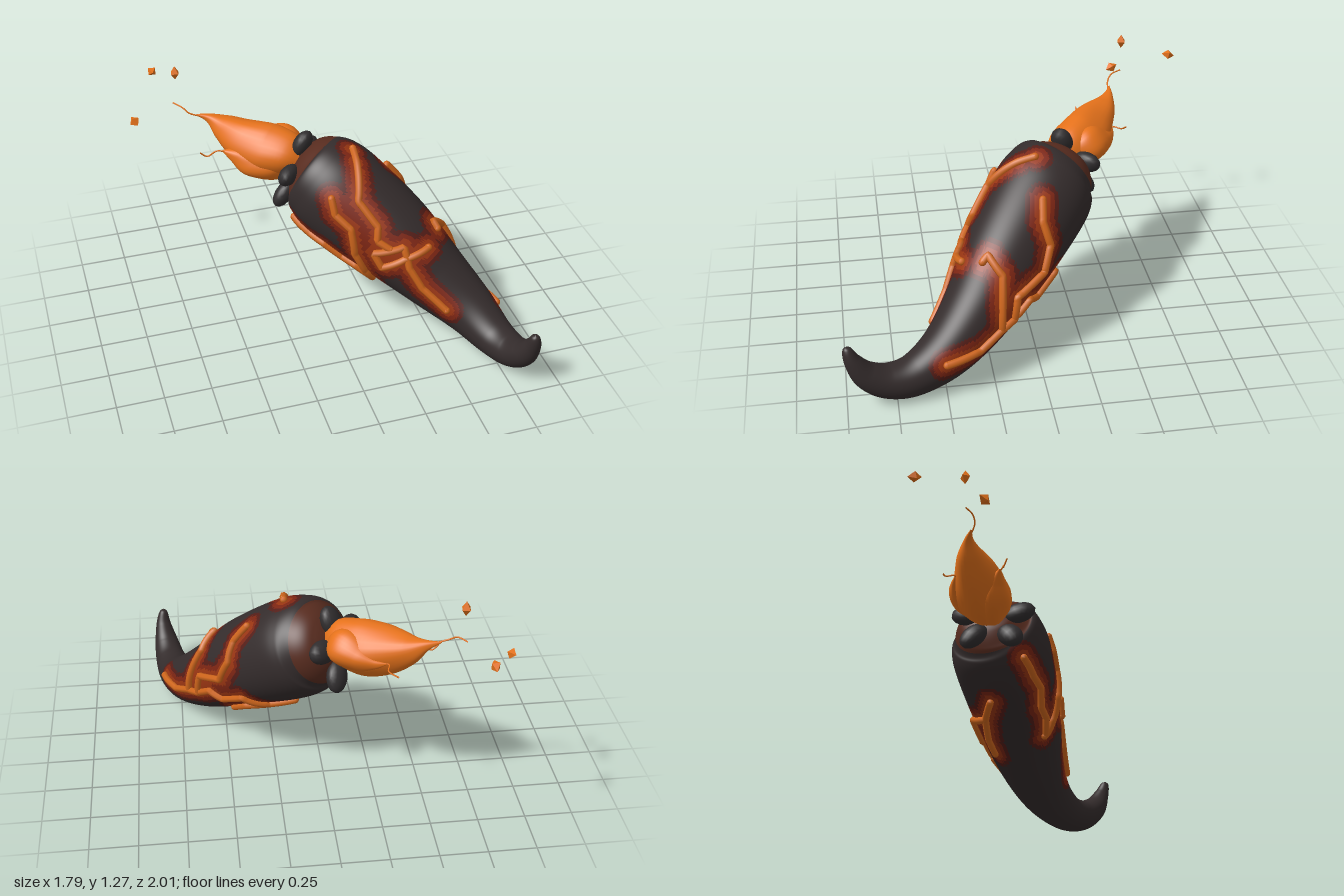
import * as THREE from 'three';

const paint = (name, color) => Object.assign(new THREE.MeshStandardMaterial({ color }), { name });
const V = (a) => new THREE.Vector3(a[0], a[1], a[2]);

// Closed skin of round sections; each station is [x, y, z, radius]
function sweep(stations, rows, cols, ripple = () => 1) {
  const path = new THREE.CatmullRomCurve3(stations.map(V), false, 'catmullrom');
  const radii = new THREE.CatmullRomCurve3(
    stations.map((s) => new THREE.Vector3(s[3], 0, 0)), false, 'catmullrom');
  const pos = [], index = [];
  for (let i = 0; i <= rows; i++) {
    const t = i / rows;
    const c = path.getPoint(t), T = path.getTangent(t);
    const r = Math.max(0.001, radii.getPoint(t).x);
    const N = new THREE.Vector3(1, 0, -0.9);
    N.addScaledVector(T, -N.dot(T)).normalize();
    const B = new THREE.Vector3().crossVectors(T, N);
    for (let j = 0; j < cols; j++) {
      const a = (j / cols) * Math.PI * 2, k = r * ripple(a, t);
      const p = c.clone().addScaledVector(N, Math.cos(a) * k).addScaledVector(B, Math.sin(a) * k);
      pos.push(p.x, p.y, p.z);
      if (i < rows) {
        const j2 = (j + 1) % cols;
        const p0 = i * cols + j, p1 = i * cols + j2, p2 = p0 + cols, p3 = p1 + cols;
        index.push(p0, p1, p2, p1, p3, p2);
      }
    }
  }
  const g = new THREE.BufferGeometry();
  g.setAttribute('position', new THREE.Float32BufferAttribute(pos, 3));
  g.setIndex(index);
  g.computeVertexNormals();
  return g;
}

// Draws a zigzag in a plane facing `dir` and drops it onto the surface
function project(mesh, dir, pts) {
  const d = V(dir).normalize();
  const u = new THREE.Vector3(0, 1, 0).cross(d).normalize();
  const v = new THREE.Vector3().crossVectors(d, u);
  const ray = new THREE.Raycaster();
  const out = [];
  for (let i = 0; i < pts.length - 1; i++) {
    const last = i === pts.length - 2;
    for (let k = 0; k < (last ? 7 : 6); k++) {
      const f = k / 6;
      const a = pts[i][0] + (pts[i + 1][0] - pts[i][0]) * f;
      const b = pts[i][1] + (pts[i + 1][1] - pts[i][1]) * f;
      const o = u.clone().multiplyScalar(a).addScaledVector(v, b).addScaledVector(d, 5);
      ray.set(o, d.clone().negate());
      const hit = ray.intersectObject(mesh)[0];
      if (hit) out.push(hit.point.clone().addScaledVector(hit.face.normal, 0.007));
    }
  }
  return out;
}

export function createModel() {
  const model = new THREE.Group();
  model.name = 'fieryPepper';
  const skin = paint('charredSkin', 0x342c2c);
  const cap = paint('brownShoulder', 0x582c1f);
  const glowOuter = paint('darkRedGlow', 0x541d17);
  const glowMid = paint('redGlow', 0x7c2513);
  const glowInner = paint('hotGlow', 0x983512);
  const lava = paint('lavaOrange', 0xcf661c);
  const flameMat = paint('flameOrange', 0xe6721b);
  const leaf = paint('charredLeaf', 0x302d2e);
  const add = (name, geo, mat, parent = model) => {
    const m = new THREE.Mesh(geo, mat);
    m.name = name;
    parent.add(m);
    return m;
  };
  const group = (name) => {
    const g = new THREE.Group();
    g.name = name;
    model.add(g);
    return g;
  };

  // Pepper body with a curled tip
  const stations = [
    [-0.07, 0.85, -0.26, 0], [-0.04, 0.83, -0.235, 0.13], [0.005, 0.8, -0.195, 0.207],
    [0.05, 0.765, -0.145, 0.253], [0.14, 0.685, -0.06, 0.27], [0.35, 0.505, 0.13, 0.243],
    [0.54, 0.315, 0.31, 0.19], [0.68, 0.185, 0.48, 0.145], [0.76, 0.11, 0.65, 0.11],
    [0.8, 0.115, 0.79, 0.09], [0.822, 0.18, 0.895, 0.07], [0.834, 0.275, 0.955, 0.044],
    [0.83, 0.345, 0.98, 0.024], [0.828, 0.365, 0.985, 0]];
  const rows = 180, cols = 120;
  const bodyGeo = sweep(stations, rows, cols,
    (a, t) => 1 + 0.015 * Math.sin(3 * a + 9 * t) * Math.sin(Math.PI * t));
  const body = add('pepperBody', bodyGeo, skin);

  // Lava cracks as [facing direction, zigzag points in that plane]
  const front = [0, 0, 1], right = [1, 0, 0], left = [-1, 0, 0], under = [1, -0.66, -1];
  const cracks = [
    [front, [[0.01, 0.81], [0.02, 0.73], [0.09, 0.66], [0.11, 0.51], [0.17, 0.39], [0.22, 0.32]]],
    [front, [[0.18, 0.97], [0.14, 0.8], [0.22, 0.68], [0.21, 0.61], [0.27, 0.57]]],
    [front, [[0.23, 0.46], [0.19, 0.54], [0.34, 0.58], [0.36, 0.47], [0.42, 0.36], [0.53, 0.25]]],
    [front, [[0.23, 0.46], [0.34, 0.52], [0.47, 0.56]]],
    [right, [[0.05, 0.83], [0.04, 0.74], [0.07, 0.63], [0.03, 0.5], [-0.12, 0.43],
      [-0.14, 0.31], [-0.22, 0.28], [-0.33, 0.22], [-0.5, 0.2]]],
    [right, [[-0.28, 0.6], [-0.25, 0.63], [-0.19, 0.55], [-0.2, 0.43], [-0.21, 0.29]]],
    [under, [[-0.53, 0.45], [-0.45, 0.5], [-0.37, 0.47], [-0.22, 0.54], [-0.12, 0.45], [0, 0.46]]],
    [under, [[-0.36, 0.36], [-0.27, 0.41], [-0.12, 0.45]]],
    [left, [[-0.08, 0.58], [0.01, 0.52], [0.08, 0.49], [0.13, 0.42], [0.19, 0.39], [0.23, 0.33]]]];
  const lines = cracks.map(([dir, pts]) => project(body, dir, pts)).filter((l) => l.length > 2);
  const crackGroup = group('lavaCracks');
  for (const line of lines) {
    const curve = new THREE.CatmullRomCurve3(line);
    add('lavaCrack', new THREE.TubeGeometry(curve, line.length * 2, 0.02, 7), lava, crackGroup);
    for (const end of [line[0], line[line.length - 1]]) {
      add('crackEnd', new THREE.SphereGeometry(0.02, 8, 6), lava, crackGroup).position.copy(end);
    }
  }

  // Skin faces sorted into glow bands by distance from the cracks
  const dots = lines.flat();
  const p = bodyGeo.attributes.position, old = bodyGeo.index.array;
  const bands = [[], [], [], [], []];
  const mid = new THREE.Vector3(), corner = new THREE.Vector3();
  for (let f = 0; f < old.length; f += 3) {
    mid.set(0, 0, 0);
    for (let k = 0; k < 3; k++) mid.add(corner.fromBufferAttribute(p, old[f + k]));
    mid.divideScalar(3);
    let near = Infinity;
    for (const q of dots) near = Math.min(near, q.distanceToSquared(mid));
    near = Math.sqrt(near);
    const t = Math.floor(f / 6 / cols) / rows * (stations.length - 1);
    const band = near < 0.043 ? 4 : near < 0.069 ? 3 : near < 0.092 ? 2 : t < 2.15 ? 1 : 0;
    bands[band].push(old[f], old[f + 1], old[f + 2]);
  }
  bodyGeo.setIndex(bands.flat());
  let start = 0;
  bands.forEach((b, i) => {
    bodyGeo.addGroup(start, b.length, i);
    start += b.length;
  });
  body.material = [skin, cap, glowOuter, glowMid, glowInner];

  // Calyx lobes around the flame's root
  const calyx = group('calyx');
  const hub = new THREE.Vector3(-0.083, 0.8, -0.235);
  const axis = new THREE.Vector3(-0.62, 0.4, -0.6).normalize();
  for (const c of [[-0.035, 0.93, -0.215], [-0.14, 0.82, -0.105], [-0.15, 0.67, -0.165],
    [-0.05, 0.67, -0.33], [0.025, 0.825, -0.335]]) {
    const lobe = add('calyxLobe', new THREE.SphereGeometry(1, 14, 10), leaf, calyx);
    const out = V(c).sub(hub);
    out.addScaledVector(axis, -out.dot(axis)).normalize();
    const side = new THREE.Vector3().crossVectors(axis, out);
    lobe.quaternion.setFromRotationMatrix(new THREE.Matrix4().makeBasis(out, side, axis));
    lobe.scale.set(0.088, 0.062, 0.048);
    lobe.position.copy(V(c)).addScaledVector(axis, 0.015);
  }

  // Flame tongues
  const flame = group('flame');
  const tongues = [
    [[-0.05, 0.83, -0.23, 0.08], [-0.11, 0.85, -0.28, 0.125], [-0.2, 0.855, -0.36, 0.145],
      [-0.31, 0.885, -0.44, 0.122], [-0.4, 0.93, -0.52, 0.076], [-0.47, 0.975, -0.565, 0.028],
      [-0.54, 1.0, -0.585, 0.003]],
    [[-0.1, 0.81, -0.26, 0.06], [-0.19, 0.795, -0.3, 0.092], [-0.3, 0.805, -0.335, 0.083],
      [-0.38, 0.845, -0.36, 0.045], [-0.45, 0.875, -0.38, 0.003]],
    [[-0.06, 0.86, -0.3, 0.06], [-0.1, 0.87, -0.375, 0.1], [-0.17, 0.86, -0.46, 0.073],
      [-0.23, 0.86, -0.52, 0.03], [-0.28, 0.87, -0.55, 0.003]]];
  for (const s of tongues) {
    add('flameTongue', sweep(s, 36, 28, (a, t) => 1 + 0.04 * Math.sin(4 * a + 5 * t)), flameMat, flame);
  }
  const wisps = [
    [[-0.48, 0.98, -0.57], [-0.58, 1.015, -0.585], [-0.61, 1.04, -0.61], [-0.65, 1.045, -0.67]],
    [[-0.42, 0.865, -0.37], [-0.48, 0.88, -0.375], [-0.53, 0.84, -0.4], [-0.57, 0.87, -0.4]],
    [[-0.26, 0.87, -0.53], [-0.29, 0.87, -0.56], [-0.28, 0.86, -0.6], [-0.325, 0.845, -0.64]]];
  for (const w of wisps) {
    add('flameWisp', new THREE.TubeGeometry(new THREE.CatmullRomCurve3(w.map(V)), 24, 0.004, 6),
      flameMat, flame);
  }

  // Floating embers
  const embers = group('embers');
  for (const [c, s, turn] of [
    [[-0.63, 1.23, -0.665], [0.028, 0.04, 0.028], [0, 0.6, 0]],
    [[-0.71, 1.095, -0.965], [0.028, 0.028, 0.038], [-0.25, 0, 0.75]],
    [[-0.87, 0.965, -0.67], [0.029, 0.029, 0.038], [0.3, 0.35, 0.5]]]) {
    const e = add('ember', new THREE.OctahedronGeometry(1), flameMat, embers);
    e.position.copy(V(c));
    e.scale.set(...s);
    e.rotation.set(...turn);
  }
  return model;
}
